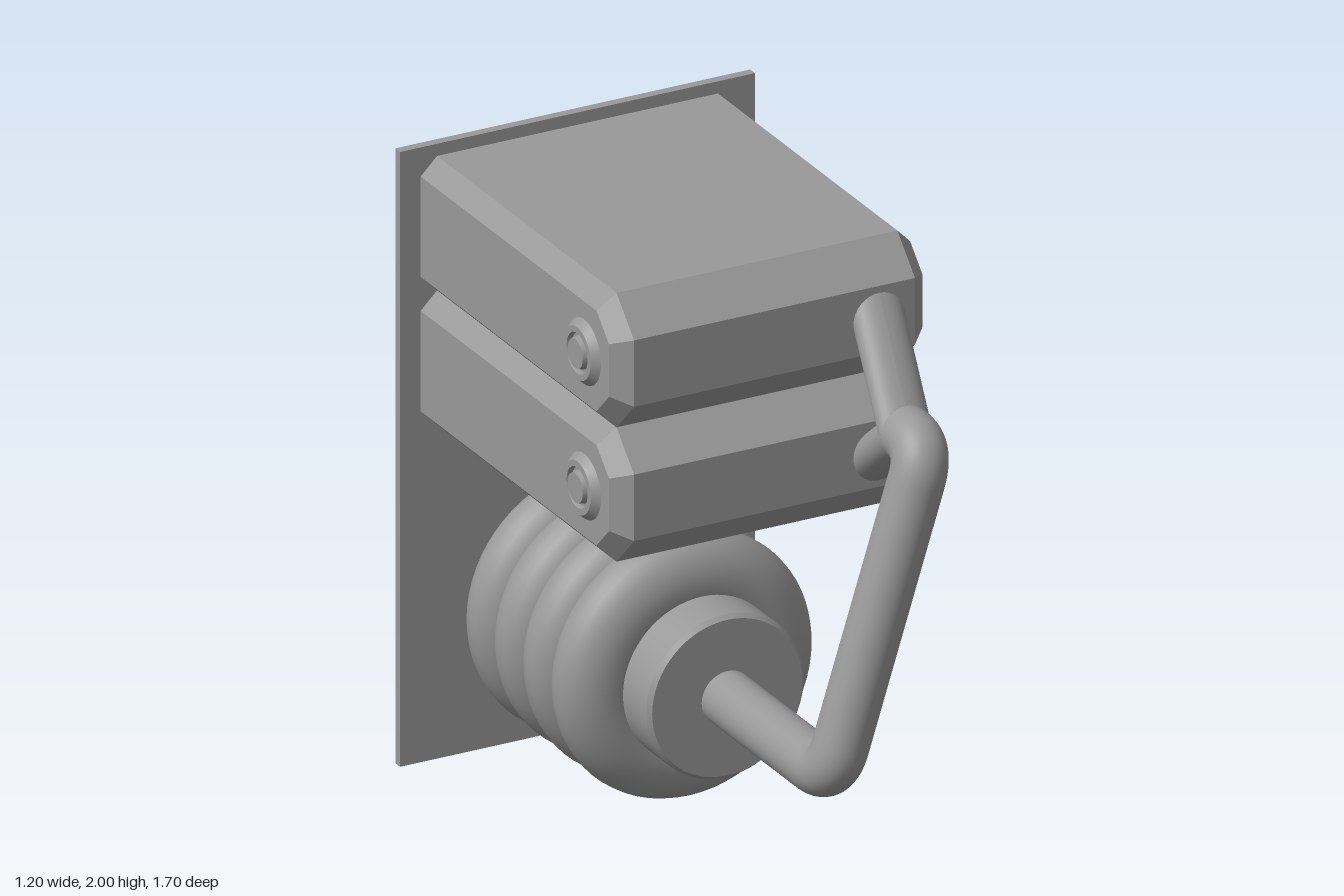
import * as THREE from 'three';
import { ConvexGeometry } from 'three/addons/geometries/ConvexGeometry.js';

const grey = new THREE.MeshStandardMaterial({ color: 0x999999 });
grey.name = 'plain grey';

function add(parent, name, geometry, x = 0, y = 0, z = 0) {
  const mesh = new THREE.Mesh(geometry, grey);
  mesh.name = name;
  mesh.position.set(x, y, z);
  parent.add(mesh);
  return mesh;
}

// Side outline of a box unit, inset by d on all edges but the back; u runs to the back
function outline(d) {
  const k = 0.414 * d, h = 0.2185;
  return [
    [0.82, -h + d], [0.82, h - d], [-0.3 + k, h - d],
    [-0.41 + d, 0.108 - k], [-0.41 + d, -0.108 + k], [-0.3 + k, -h + d],
  ];
}

// Outer skin of the left side, with holes for the panel and the drop-shaped recess
function sidePlate() {
  const inner = outline(0.055), outer = outline(0.035);
  const shape = new THREE.Shape(inner.map(([u, y]) => new THREE.Vector2(u, y)));

  const panel = new THREE.Path();
  const a = 0.075, b = 0.802, h = 0.152, c = 0.04;
  panel.moveTo(a + c, -h);
  panel.lineTo(b - c, -h).quadraticCurveTo(b - c * 0.4, -h + c * 0.4, b, -h + c);
  panel.lineTo(b, h - c).quadraticCurveTo(b - c * 0.4, h - c * 0.4, b - c, h);
  panel.lineTo(a + c, h).quadraticCurveTo(a + c * 0.4, h - c * 0.4, a, h - c);
  panel.lineTo(a, -h + c).quadraticCurveTo(a + c * 0.4, -h + c * 0.4, a + c, -h);

  const drop = new THREE.Path();
  drop.moveTo(-0.243, 0);
  drop.absarc(-0.108, 0, 0.047, -1.9, 1.9, false);
  drop.lineTo(-0.243, 0);
  shape.holes.push(panel, drop);

  const geo = new THREE.ExtrudeGeometry(shape, { depth: 0.02, bevelEnabled: false, curveSegments: 10 });
  // Flare the outer edge at the base so that it continues the body's chamfer
  const p = geo.attributes.position;
  for (let i = 0; i < p.count; i++) {
    if (p.getZ(i) > 0.01) continue;
    const n = inner.findIndex(([u, y]) => Math.hypot(u - p.getX(i), y - p.getY(i)) < 1e-4);
    if (n >= 0) p.setXY(i, ...outer[n]);
  }
  geo.computeVertexNormals();
  return geo.rotateY(Math.PI / 2);
}

function boxUnit(name, y) {
  const unit = new THREE.Group();
  unit.name = name;
  unit.position.y = y;

  // Chamfered body
  const points = [];
  for (const [x, d] of [[-0.528, 0.055], [-0.473, 0], [0.473, 0], [0.508, 0.035]]) {
    for (const [u, v] of outline(d)) points.push(new THREE.Vector3(x, v, -u));
  }
  add(unit, 'body', new ConvexGeometry(points));
  add(unit, 'sidePlate', sidePlate(), 0.508);

  // Indicator bars and dots, and the round button in the panel
  for (const z of [-0.13, -0.2, -0.27]) {
    add(unit, 'bar', new THREE.CapsuleGeometry(0.0175, 0.178, 6, 16), 0.525, -0.018, z);
    add(unit, 'dot', new THREE.SphereGeometry(0.0175, 16, 12), 0.525, 0.124, z);
  }
  add(unit, 'button', new THREE.CylinderGeometry(0.07, 0.07, 0.04, 32).rotateZ(-Math.PI / 2), 0.523, 0, -0.657);

  // Ringed dial on the other side
  const dial = [[0.105, 0], [0.085, 0.024], [0.065, 0.024], [0.06, 0.01], [0.052, 0.01], [0.047, 0.03], [0, 0.03]];
  const profile = dial.flatMap(([r, h]) => [new THREE.Vector2(r, h), new THREE.Vector2(r, h)]);
  add(unit, 'dial', new THREE.LatheGeometry(profile, 32).rotateZ(Math.PI / 2), -0.528, 0, 0.2);
  return unit;
}

// Round tube whose ends both lie in planes facing the front
function slantedTube(from, to, radius) {
  const geo = new THREE.CylinderGeometry(radius, radius, 1, 32, 1).rotateX(-Math.PI / 2);
  const p = geo.attributes.position;
  for (let i = 0; i < p.count; i++) {
    const t = 0.5 - p.getZ(i);
    const c = from.clone().lerp(to, t);
    p.setXYZ(i, p.getX(i) + c.x, p.getY(i) + c.y, c.z);
  }
  geo.computeVertexNormals();
  return geo;
}

// Path with its corners rounded off
function roundedPath(points, cut) {
  const path = new THREE.CurvePath();
  let start = points[0];
  for (let i = 1; i < points.length - 1; i++) {
    const c = points[i];
    const before = c.clone().add(points[i - 1].clone().sub(c).setLength(cut));
    const after = c.clone().add(points[i + 1].clone().sub(c).setLength(cut));
    path.add(new THREE.LineCurve3(start, before));
    path.add(new THREE.QuadraticBezierCurve3(before, c, after));
    start = after;
  }
  path.add(new THREE.LineCurve3(start, points[points.length - 1]));
  return path;
}

export function createModel() {
  const model = new THREE.Group();
  model.name = 'wallUnit';
  const v = (x, y, z) => new THREE.Vector3(x, y, z);

  add(model, 'backPlate', new THREE.BoxGeometry(1.195, 2, 0.03), 0, 1, -0.835);
  model.add(boxUnit('upperBox', 1.742), boxUnit('lowerBox', 1.305));

  // Bellows of four swollen rings
  const axisY = 0.469;
  for (let i = 0; i < 4; i++) {
    const ring = new THREE.TorusGeometry(0.288, 0.138, 28, 64).scale(1, 1, 0.11 / 0.138);
    add(model, 'bellowsRing', ring, 0, axisY, -0.17 - i * 0.177);
  }

  // Collar with bevelled rims
  const collar = [[0, -0.7], [0.25, -0.7], [0.25, -0.062], [0.265, -0.045], [0.265, 0.1], [0.253, 0.115], [0, 0.115]];
  const profile = collar.flatMap(([r, h]) => [new THREE.Vector2(r, h), new THREE.Vector2(r, h)]);
  add(model, 'collar', new THREE.LatheGeometry(profile, 64).rotateX(Math.PI / 2), 0, axisY, 0);

  // Main pipe and the two branches into the boxes
  const fork = v(0.317, 1.472, 0.64);
  const path = roundedPath([v(0, axisY, 0.08), v(0, axisY, 0.766), v(0.317, 1.472, 0.766), fork], 0.105);
  add(model, 'mainPipe', new THREE.TubeGeometry(path, 160, 0.0865, 32));
  add(model, 'upperBranch', slantedTube(fork, v(0.355, 1.765, 0.39), 0.0865));
  add(model, 'lowerBranch', slantedTube(fork, v(0.355, 1.29, 0.39), 0.0865));
  return model;
}
